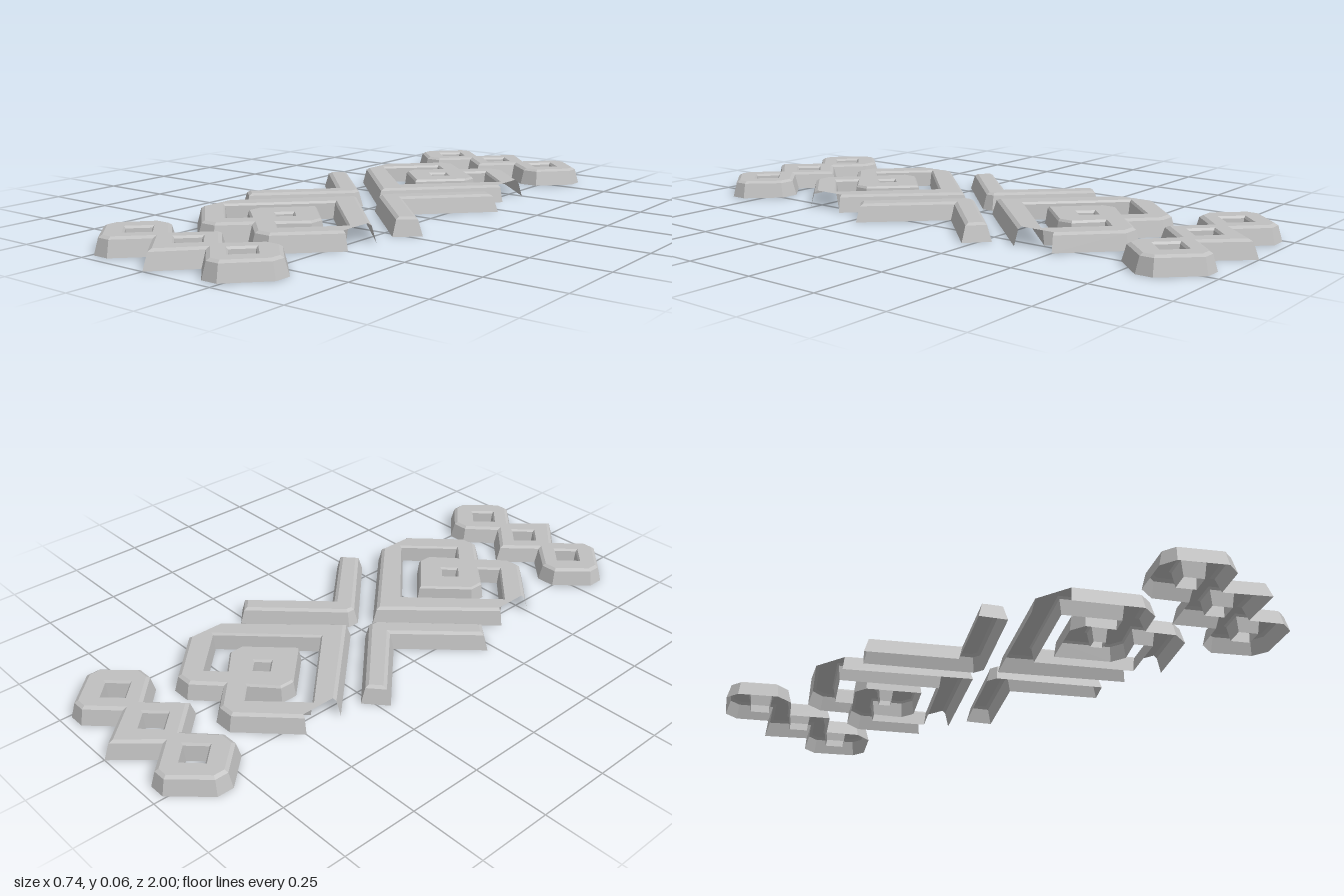
import * as THREE from 'three';

// Heights of the wall rings and how far each is drawn in from the base outline
const LEVELS = [[0, 0], [0.05, 0.013], [0.057, 0.024]];
const HOLE_DRAFT = 0.5;

// Complete an outline from its right half, listed from bottom to top
function mirrored(half) {
  const left = half.filter(([x]) => x > 0).reverse().map(([x, y]) => [-x, y]);
  return [...half, ...left];
}

const diamond = (x, y, r) => [[x, y - r], [x + r, y], [x, y + r], [x - r, y]];

// Move each edge of a ring to its left by d, with mitred corners
function inset(ring, d) {
  const n = ring.length;
  const normal = (a, b) => new THREE.Vector2(a[1] - b[1], b[0] - a[0]).normalize();
  return ring.map((p, i) => {
    const n1 = normal(ring[(i + n - 1) % n], p);
    const n2 = normal(p, ring[(i + 1) % n]);
    const k = d / (1 + n1.dot(n2));
    return [p[0] + (n1.x + n2.x) * k, p[1] + (n1.y + n2.y) * k];
  });
}

// Sloping walls along one ring; edges chosen by skip are left open
function wallGeometry(ring, draft, skip) {
  const pos = [];
  const rings = LEVELS.map(([y, d]) => inset(ring, d * draft).map(([x, v]) => [x, y, -v]));
  ring.forEach((p, i) => {
    const j = (i + 1) % ring.length;
    if (skip && skip(p, ring[j])) return;
    for (let k = 0; k < rings.length - 1; k++) {
      const a = rings[k][i], b = rings[k][j], c = rings[k + 1][j], d = rings[k + 1][i];
      pos.push(...a, ...b, ...c, ...a, ...c, ...d);
    }
  });
  const geo = new THREE.BufferGeometry();
  geo.setAttribute('position', new THREE.Float32BufferAttribute(pos, 3));
  geo.computeVertexNormals();
  return geo;
}

// A hollow raised tile, open underneath, with holes cut through it
function makeTile(name, outline, holes, material, skip) {
  const group = new THREE.Group();
  group.name = name;
  const add = (geo, part) => {
    const mesh = new THREE.Mesh(geo, material);
    mesh.name = part;
    group.add(mesh);
    return mesh;
  };
  const [topY, topInset] = LEVELS[LEVELS.length - 1];
  const toVectors = (ring) => ring.map(([x, y]) => new THREE.Vector2(x, y));
  const shape = new THREE.Shape(toVectors(inset(outline, topInset)));
  add(wallGeometry(outline, 1, skip), 'outerWall');
  for (const hole of holes) {
    const ring = [...hole].reverse();
    shape.holes.push(new THREE.Path(toVectors(inset(ring, topInset * HOLE_DRAFT))));
    add(wallGeometry(ring, HOLE_DRAFT), 'holeWall');
  }
  const top = new THREE.ShapeGeometry(shape);
  top.rotateX(-Math.PI / 2);
  add(top, 'topFace').position.y = topY;
  return group;
}

export function createModel() {
  const model = new THREE.Group();
  model.name = 'ornament';
  const grey = new THREE.MeshStandardMaterial({ color: 0xc0c0c0, side: THREE.DoubleSide });
  grey.name = 'plainGrey';

  // Three joined diamonds
  const row = mirrored([[0, 0.68], [0.1, 0.78], [0.185, 0.7], [0.25, 0.7], [0.345, 0.8],
    [0.345, 0.855], [0.24, 0.965], [0.185, 0.965], [0.105, 0.885], [0, 1]]);
  const rowHoles = [-0.205, 0, 0.205].map((x) => diamond(x, 0.83, 0.045));

  // Heart with a channel around its inner lobe
  const heart = mirrored([[0, 0.05], [0.303, 0.365], [0.303, 0.5], [0.14, 0.66], [0.075, 0.66], [0, 0.59]]);
  const channel = [[0, 0.19], [0.24, 0.43], [0.105, 0.565], [0.06, 0.522], [0.135, 0.455], [0.135, 0.4],
    [0, 0.265], [-0.135, 0.4], [-0.135, 0.455], [-0.06, 0.522], [-0.105, 0.565], [-0.24, 0.43]];
  const heartHoles = [channel, diamond(0, 0.425, 0.028)];
  const blunt = (a, b) => Math.abs(a[0]) > 0.3 && a[0] === b[0];

  // Chevron pointing to the centre
  const chevron = [[0.04, -0.02], [0.3, -0.28], [0.37, -0.22], [0.155, 0],
    [0.37, 0.22], [0.3, 0.28], [0.04, 0.02]];

  // Each half is the other turned half way round
  for (const [prefix, side, turn] of [['back', 'left', 0], ['front', 'right', Math.PI]]) {
    const half = new THREE.Group();
    half.name = prefix + 'Half';
    half.add(makeTile(prefix + 'DiamondRow', row, rowHoles, grey));
    half.add(makeTile(prefix + 'Heart', heart, heartHoles, grey, blunt));
    half.add(makeTile(side + 'Chevron', chevron, [], grey));
    half.rotation.y = turn;
    model.add(half);
  }
  return model;
}
